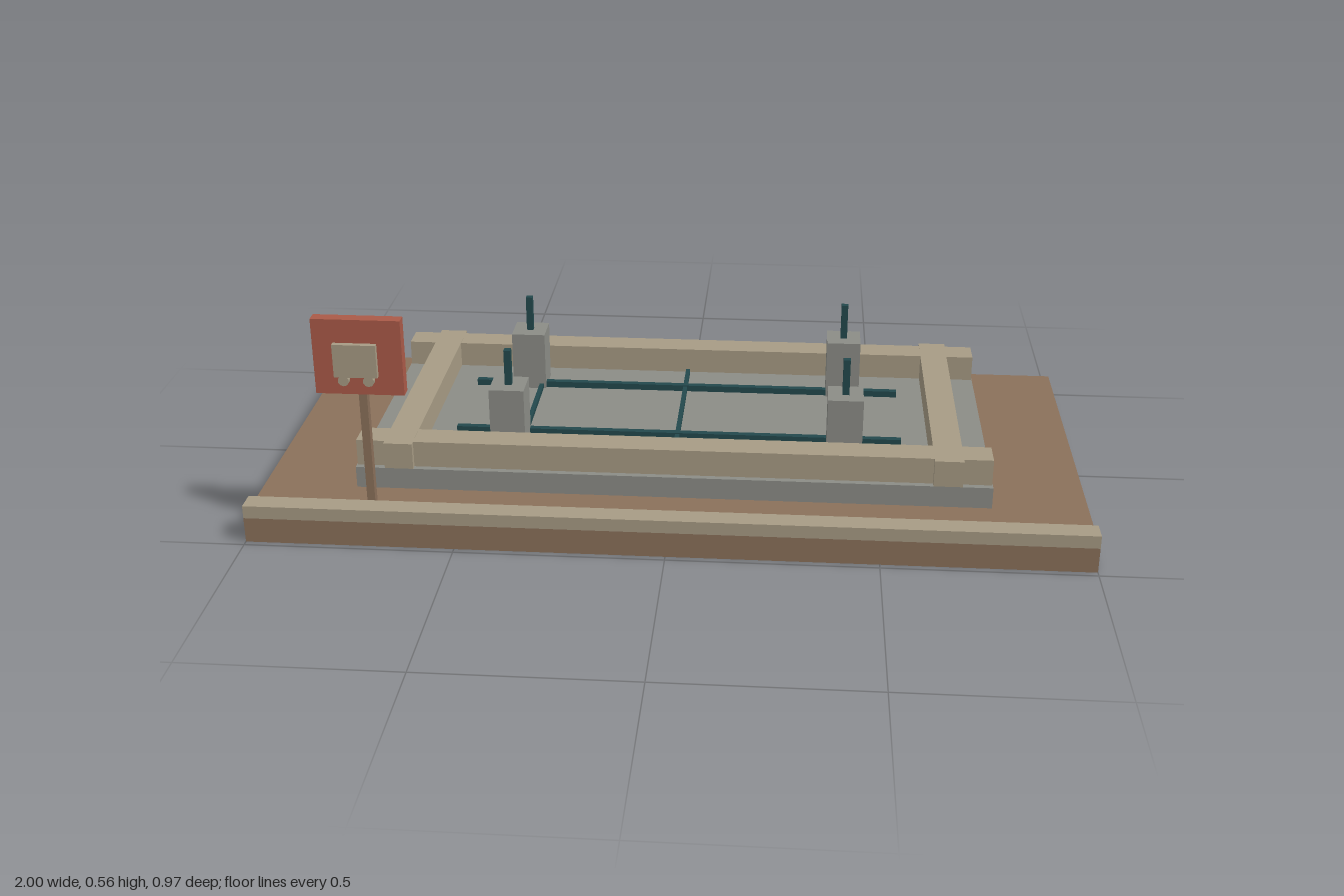
import * as THREE from 'three';

const material = (name, color) => {
  const m = new THREE.MeshStandardMaterial({ color });
  m.name = name;
  return m;
};

export function createModel() {
  const soil = material('earth brown', 0x8a705a);
  const timber = material('pale beige', 0xa69b84);
  const concrete = material('concrete grey', 0x8b8c86);
  const steel = material('dark teal steel', 0x23484c);
  const red = material('brick red', 0xaa5a48);

  const model = new THREE.Group();
  model.name = 'foundationSite';

  // Box given by its lower and upper limits on each axis
  const box = (name, mat, [x0, x1], [y0, y1], [z0, z1]) => {
    const mesh = new THREE.Mesh(new THREE.BoxGeometry(x1 - x0, y1 - y0, z1 - z0), mat);
    mesh.position.set((x0 + x1) / 2, (y0 + y1) / 2, (z0 + z1) / 2);
    mesh.name = name;
    model.add(mesh);
    return mesh;
  };
  const around = (c, size) => [c - size / 2, c + size / 2];

  // Ground, kerb and slab
  box('ground', soil, [-1, 1], [0, 0.063], [-0.485, 0.485]);
  box('kerb', timber, [-1, 1], [0.063, 0.095], [0.433, 0.485]);
  box('slab', concrete, [-0.77, 0.77], [0.063, 0.117], [-0.41, 0.308]);

  // Formwork beams crossing at the corners
  for (const z of [-0.358, 0.258]) {
    box('longBeam', timber, [-0.768, 0.768], [0.117, 0.183], around(z, 0.071));
  }
  for (const x of [-0.663, 0.663]) {
    box('crossBeam', timber, around(x, 0.07), [0.117, 0.1835], [-0.41, 0.308]);
  }

  // Reinforcing bars
  for (const z of [-0.2, 0.09]) {
    box('longBar', steel, [-0.56, 0.56], [0.118, 0.134], around(z, 0.016));
  }
  for (const x of [-0.385, 0, 0.385]) {
    box('crossBar', steel, around(x, 0.011), [0.119, 0.131], [-0.308, 0.2]);
  }

  // Piers with starter rods
  for (const x of [-0.417, 0.417]) {
    for (const z of [-0.229, 0.129]) {
      box('pier', concrete, around(x, 0.087), [0.117, 0.271], around(z, 0.087));
      box('starterRod', steel, around(x, 0.017), [0.271, 0.363], around(z, 0.017));
    }
  }

  // Sign on a post
  box('signPost', soil, around(-0.703, 0.019), [0.063, 0.47], [0.412, 0.432]);
  box('signBoard', red, around(-0.703, 0.206), [0.38, 0.564], [0.423, 0.452]);

  // Vehicle symbol standing off the board
  box('symbolBody', timber, around(-0.703, 0.1), [0.434, 0.514], [0.468, 0.481]);
  for (const x of [-0.732, -0.674]) {
    const wheel = new THREE.Mesh(new THREE.CylinderGeometry(0.013, 0.013, 0.012, 10), timber);
    wheel.rotation.x = Math.PI / 2;
    wheel.position.set(x, 0.425, 0.4745);
    wheel.name = 'symbolWheel';
    model.add(wheel);
  }

  return model;
}
